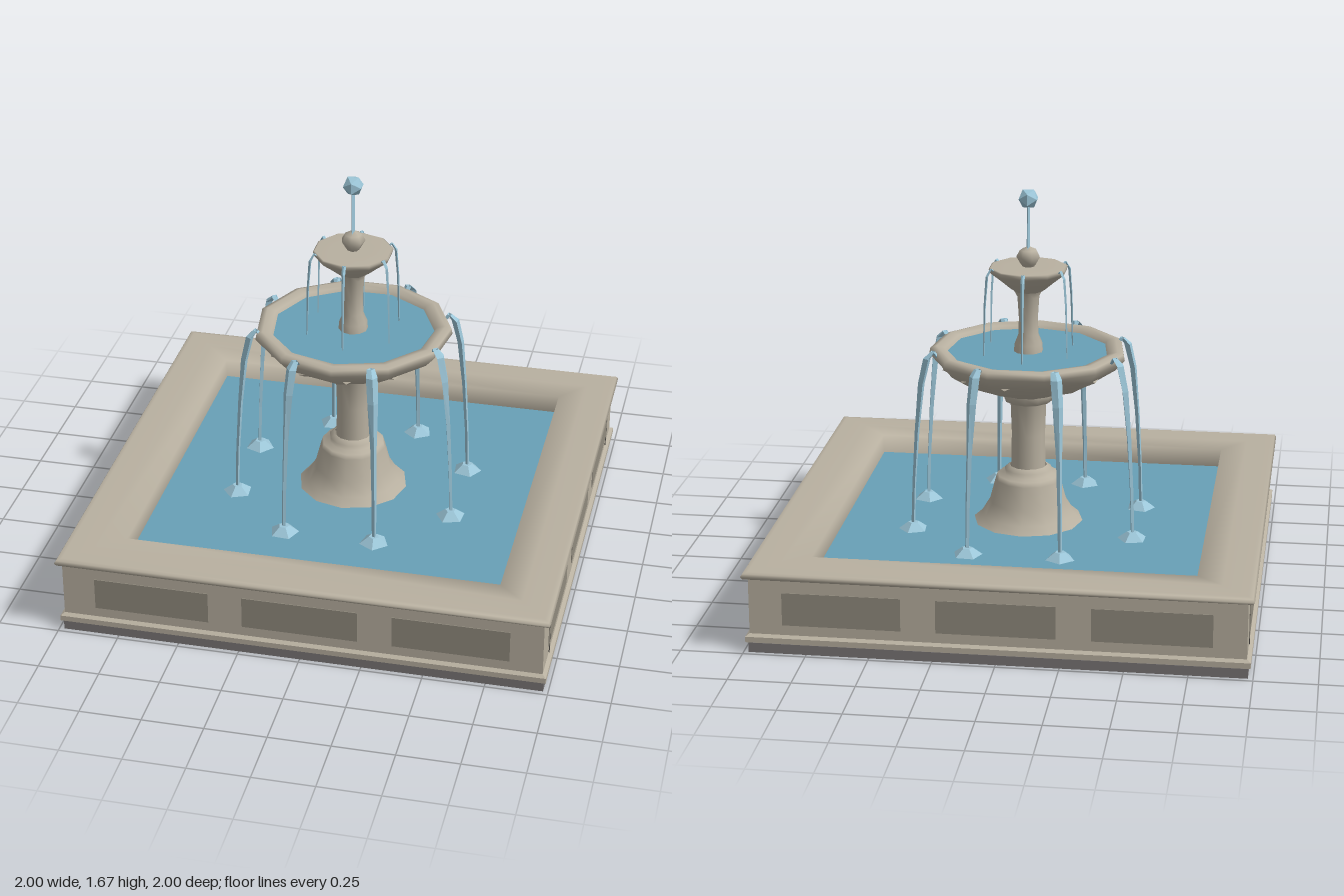
import * as THREE from 'three';

const mat = (color, flatShading = false) =>
  new THREE.MeshStandardMaterial({ color, flatShading, side: THREE.DoubleSide });
const stone = mat(0xb8b0a0);
const flatStone = mat(0xb8b0a0, true);
const panelStone = mat(0x918b7e);
const plinthStone = mat(0x7a7676);
const seamStone = mat(0x4a4845);
const water = mat(0x68a0b6);
const spray = mat(0x9cc6d8, true);

function add(parent, name, geometry, material, x = 0, y = 0, z = 0) {
  const mesh = new THREE.Mesh(geometry, material);
  mesh.name = name;
  mesh.position.set(x, y, z);
  parent.add(mesh);
  return mesh;
}

const profile = (points) => points.map(([r, y]) => new THREE.Vector2(r, y));
const turned = (points, sides) => new THREE.LatheGeometry(profile(points), sides);

// Four-sided ring: profile given as half widths of the square
const squareRing = (points) => new THREE.LatheGeometry(
  profile(points.map(([r, y]) => [r * Math.SQRT2, y])), 4, Math.PI / 4);

// Falling water: a four-sided tube whose width and thickness change along a path of [r, y, width, depth]
function streamGeometry(rows) {
  const pos = [], index = [];
  rows.forEach(([r, y, w, d]) => {
    pos.push(r + d, y, 0, r, y, w, r - d, y, 0, r, y, -w);
  });
  for (let i = 0; i < rows.length - 1; i++) {
    for (let j = 0; j < 4; j++) {
      const a = i * 4 + j, b = i * 4 + (j + 1) % 4;
      index.push(a, a + 4, b, b, a + 4, b + 4);
    }
  }
  const g = new THREE.BufferGeometry();
  g.setAttribute('position', new THREE.Float32BufferAttribute(pos, 3));
  g.setIndex(index);
  g.computeVertexNormals();
  return g;
}

function buildBasin() {
  const basin = new THREE.Group();
  basin.name = 'basin';
  add(basin, 'plinth', new THREE.BoxGeometry(1.96, 0.04, 1.96), plinthStone, 0, 0.02, 0);
  add(basin, 'baseMoulding', squareRing([
    [0.975, 0.04], [0.99, 0.045], [0.99, 0.068], [0.975, 0.078]]), flatStone);
  add(basin, 'outerWall', squareRing([[0.975, 0.04], [0.975, 0.315]]), flatStone);
  add(basin, 'rim', squareRing([
    [0.975, 0.308], [0.993, 0.311], [1, 0.322], [0.993, 0.333],
    [0.975, 0.336], [0.87, 0.336], [0.765, 0.328], [0.76, 0.24]]), stone);
  add(basin, 'poolWater', new THREE.BoxGeometry(1.525, 0.01, 1.525), water, 0, 0.245, 0);

  // Three recessed-looking panels on each side
  for (let s = 0; s < 4; s++) {
    const side = new THREE.Group();
    side.name = 'basinSide';
    side.rotation.y = s * Math.PI / 2;
    for (const x of [-0.608, 0, 0.608]) {
      add(side, 'panel', new THREE.BoxGeometry(0.47, 0.135, 0.006), panelStone, x, 0.187, 0.975);
    }
    if (s % 2) {
      for (const x of [-0.82, 0.82]) {
        add(side, 'wallSeam', new THREE.BoxGeometry(0.008, 0.235, 0.006), seamStone, x, 0.193, 0.975);
      }
    }
    basin.add(side);
  }
  return basin;
}

function buildLowerTier() {
  const tier = new THREE.Group();
  tier.name = 'lowerTier';
  add(tier, 'pedestal', turned([
    [0.235, 0.245], [0.195, 0.28], [0.162, 0.335], [0.137, 0.43], [0.13, 0.45],
    [0.1, 0.455], [0.1, 0.475], [0.078, 0.49]], 12), stone);
  add(tier, 'column', turned([
    [0.072, 0.48], [0.07, 0.63], [0.075, 0.765], [0.1, 0.775], [0.11, 0.805], [0.11, 0.83]], 12), stone);
  add(tier, 'bowl', turned([
    [0.09, 0.8], [0.14, 0.82], [0.27, 0.865], [0.37, 0.93], [0.41, 0.975],
    [0.405, 1], [0.38, 1.008], [0.345, 1], [0.33, 0.97]], 11), stone);
  add(tier, 'bowlWater', new THREE.CylinderGeometry(0.335, 0.335, 0.008, 11), water, 0, 0.982, 0);

  // Tapered ribs under the bowl
  const rib = new THREE.CylinderGeometry(0.03, 0.008, 0.15, 4);
  rib.scale(1, 1, 0.55);
  rib.rotateY(Math.PI / 2);
  rib.rotateZ(-1.02);
  for (let i = 0; i < 11; i++) {
    const pivot = new THREE.Group();
    pivot.name = 'bowlRib';
    pivot.rotation.y = (i + 0.5) * 2 * Math.PI / 11;
    add(pivot, 'rib', rib, flatStone, 0.285, 0.892, 0);
    tier.add(pivot);
  }
  return tier;
}

function buildUpperTier() {
  const tier = new THREE.Group();
  tier.name = 'upperTier';
  add(tier, 'upperColumn', turned([
    [0.062, 0.975], [0.058, 1.02], [0.042, 1.06], [0.04, 1.13],
    [0.046, 1.22], [0.065, 1.255], [0.075, 1.27]], 10), stone);
  add(tier, 'upperBowl', turned([
    [0.045, 1.235], [0.075, 1.255], [0.11, 1.285], [0.16, 1.325], [0.165, 1.342],
    [0.158, 1.346], [0.08, 1.346], [0, 1.346]], 10), stone);
  add(tier, 'finial', turned([
    [0.02, 1.34], [0.032, 1.357], [0.05, 1.388], [0.035, 1.415], [0, 1.432]], 7), stone);
  // Central jet, flat from the front, topped by a drop
  const jet = new THREE.CylinderGeometry(0.02, 0.022, 0.2, 4);
  jet.scale(0.32, 1, 1);
  add(tier, 'jet', jet, spray, 0, 1.515, 0);
  add(tier, 'jetDrop', new THREE.IcosahedronGeometry(0.044, 0), spray, 0, 1.63, 0);
  return tier;
}

// Radial set of streams, each with an optional splash where it lands
function buildStreams(name, count, offset, geometry, splash) {
  const set = new THREE.Group();
  set.name = name;
  for (let i = 0; i < count; i++) {
    const pivot = new THREE.Group();
    pivot.name = 'stream';
    pivot.rotation.y = offset + i * 2 * Math.PI / count;
    add(pivot, 'fallingWater', geometry, spray);
    if (splash) add(pivot, 'splash', splash, spray, 0.495, 0.265, 0);
    set.add(pivot);
  }
  return set;
}

export function createModel() {
  const fountain = new THREE.Group();
  fountain.name = 'fountain';
  fountain.add(buildBasin(), buildLowerTier(), buildUpperTier());

  const largeStream = streamGeometry([
    [0.385, 0.985, 0.012, 0.008], [0.405, 1.012, 0.016, 0.01], [0.43, 0.985, 0.024, 0.016],
    [0.455, 0.88, 0.022, 0.014], [0.475, 0.68, 0.013, 0.01], [0.49, 0.45, 0.01, 0.008],
    [0.497, 0.25, 0.009, 0.008]]);
  const splash = new THREE.CylinderGeometry(0.022, 0.062, 0.03, 5);
  fountain.add(buildStreams('lowerStreams', 8, Math.PI / 8, largeStream, splash));

  const smallStream = streamGeometry([
    [0.15, 1.335, 0.005, 0.004], [0.165, 1.35, 0.008, 0.005], [0.183, 1.32, 0.008, 0.006],
    [0.193, 1.2, 0.006, 0.005], [0.199, 0.985, 0.003, 0.003]]);
  fountain.add(buildStreams('upperStreams', 6, Math.PI / 6, smallStream));
  return fountain;
}
